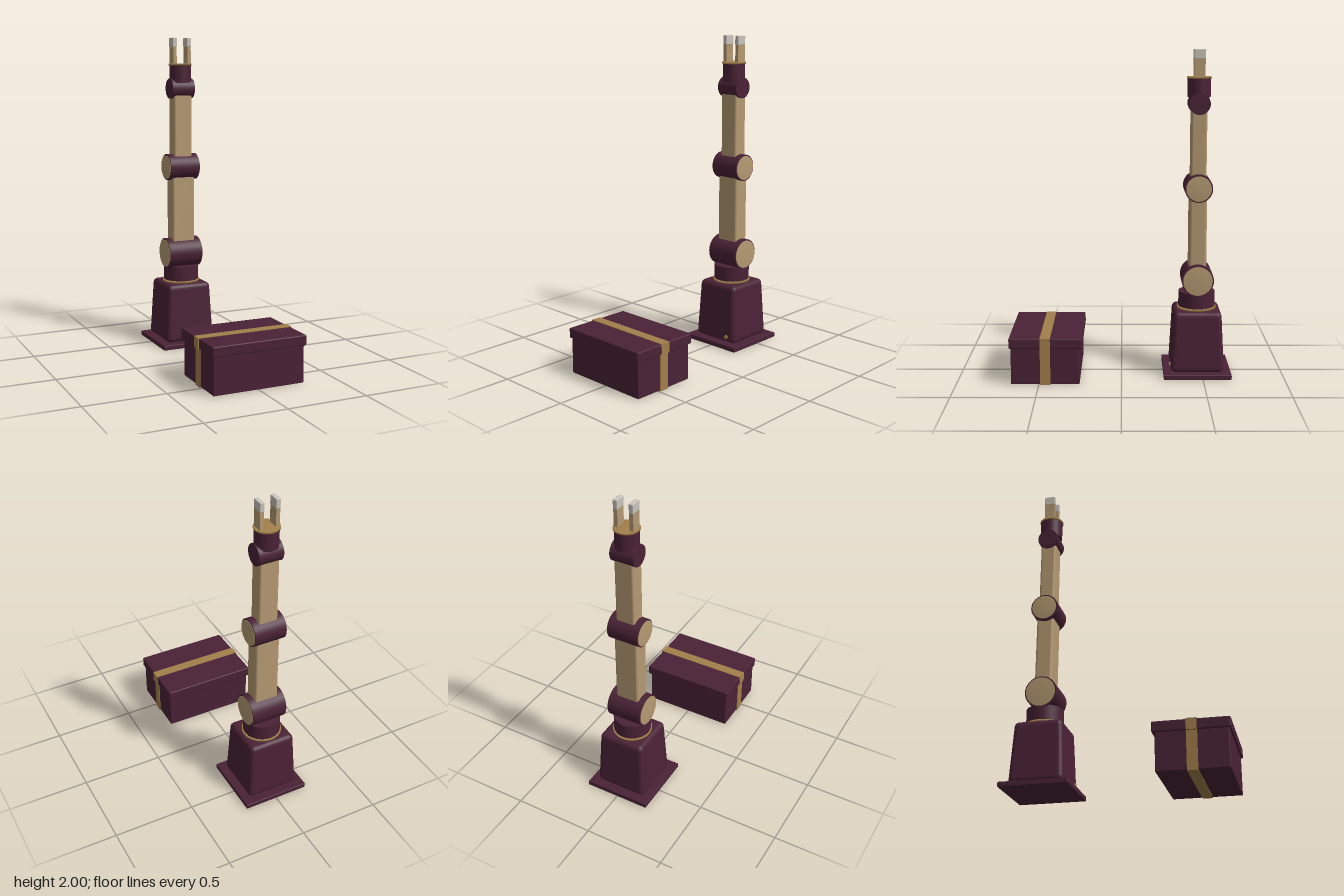
import * as THREE from 'three';
import { RoundedBoxGeometry } from 'three/addons/geometries/RoundedBoxGeometry.js';

const material = (name, color) => {
  const m = new THREE.MeshStandardMaterial({ color });
  m.name = name;
  return m;
};

export function createModel() {
  const burgundy = material('burgundy', 0x4a2236);
  const tan = material('tan', 0xb59a72);
  const gold = material('gold', 0xa37f4b);
  const silver = material('silver', 0xcac5bc);

  const model = new THREE.Group();
  model.name = 'robotArmAndBox';

  const add = (parent, name, geometry, mat, x = 0, y = 0, z = 0) => {
    const mesh = new THREE.Mesh(geometry, mat);
    mesh.name = name;
    mesh.position.set(x, y, z);
    parent.add(mesh);
    return mesh;
  };
  const rounded = (w, h, d, r) => new RoundedBoxGeometry(w, h, d, 3, r);
  const cylinder = (r, h) => new THREE.CylinderGeometry(r, r, h, 40);
  // Thin disc with softly blended normals, resting on y = 0
  const disc = (r, h) => new THREE.LatheGeometry(
    [[0, 0], [r, 0], [r, h], [0, h]].map(([x, y]) => new THREE.Vector2(x, y)), 40);

  // ---- Robot arm ----
  const arm = new THREE.Group();
  arm.name = 'robotArm';
  arm.position.z = -0.467;
  model.add(arm);

  add(arm, 'basePlate', rounded(0.415, 0.03, 0.415, 0.004), burgundy, 0, 0.017);

  // Pedestal narrows towards the top
  const pedestal = rounded(0.326, 0.378, 0.326, 0.03);
  const p = pedestal.attributes.position;
  for (let i = 0; i < p.count; i++) {
    const s = 0.94 - 0.12 * p.getY(i) / 0.378;
    p.setX(i, p.getX(i) * s);
    p.setZ(i, p.getZ(i) * s);
  }
  pedestal.scale(1 / 0.985, 1, 1 / 0.985);
  pedestal.computeVertexNormals();
  add(arm, 'pedestal', pedestal, burgundy, 0, 0.221);

  // Small indicator low on the pedestal front
  add(arm, 'indicator', cylinder(0.013, 0.02).rotateX(Math.PI / 2), gold, 0.1, 0.07, 0.163);

  add(arm, 'turntableRing', disc(0.12, 0.016), gold, 0, 0.407);
  add(arm, 'turntable', cylinder(0.113, 0.097), burgundy, 0, 0.468);

  // Cross joints, optionally with tan end caps
  const joint = (name, y, r, half, capRadius) => {
    const g = new THREE.Group();
    g.name = name;
    g.position.y = y;
    arm.add(g);
    add(g, name + 'Barrel', cylinder(r, half * 2).rotateZ(Math.PI / 2), burgundy);
    if (!capRadius) return;
    for (const side of [-1, 1]) {
      add(g, name + 'Cap', disc(capRadius, 0.005), tan, side * half)
        .rotation.z = -side * Math.PI / 2;
    }
  };
  joint('shoulder', 0.6, 0.098, 0.112, 0.09);
  joint('elbow', 1.168, 0.085, 0.1, 0.077);
  joint('wrist', 1.676, 0.065, 0.076);

  add(arm, 'lowerArm', rounded(0.153, 0.52, 0.106, 0.015), tan, 0, 0.86);
  add(arm, 'upperArm', rounded(0.123, 0.47, 0.096, 0.013), tan, 0, 1.42);

  // Gripper
  add(arm, 'hand', cylinder(0.07, 0.112), burgundy, 0, 1.77);
  add(arm, 'palm', disc(0.075, 0.012), gold, 0, 1.825);
  for (const side of [-1, 1]) {
    add(arm, 'finger', new THREE.BoxGeometry(0.024, 0.13, 0.064), tan, side * 0.049, 1.89);
    add(arm, 'fingerTip', rounded(0.028, 0.058, 0.068, 0.004), silver, side * 0.049, 1.971);
  }

  // ---- Banded box ----
  const box = new THREE.Group();
  box.name = 'bandedBox';
  box.position.z = 0.46;
  model.add(box);
  add(box, 'boxBody', rounded(0.576, 0.232, 0.414, 0.005), burgundy, 0, 0.12);
  add(box, 'boxLid', rounded(0.598, 0.062, 0.442, 0.007), burgundy, 0, 0.26, -0.003);

  // Band running over the top, down both ends and underneath
  const band = new THREE.Group();
  band.name = 'band';
  box.add(band);
  const strip = (name, w, h, x, y) =>
    add(band, name, new THREE.BoxGeometry(w, h, 0.062), gold, x, y);
  strip('bandTop', 0.606, 0.005, 0, 0.2915);
  strip('bandBottom', 0.584, 0.005, 0, 0.0025);
  for (const side of [-1, 1]) {
    strip('bandLidEnd', 0.005, 0.066, side * 0.3005, 0.261);
    strip('bandBodyEnd', 0.005, 0.228, side * 0.2895, 0.114);
  }
  return model;
}
